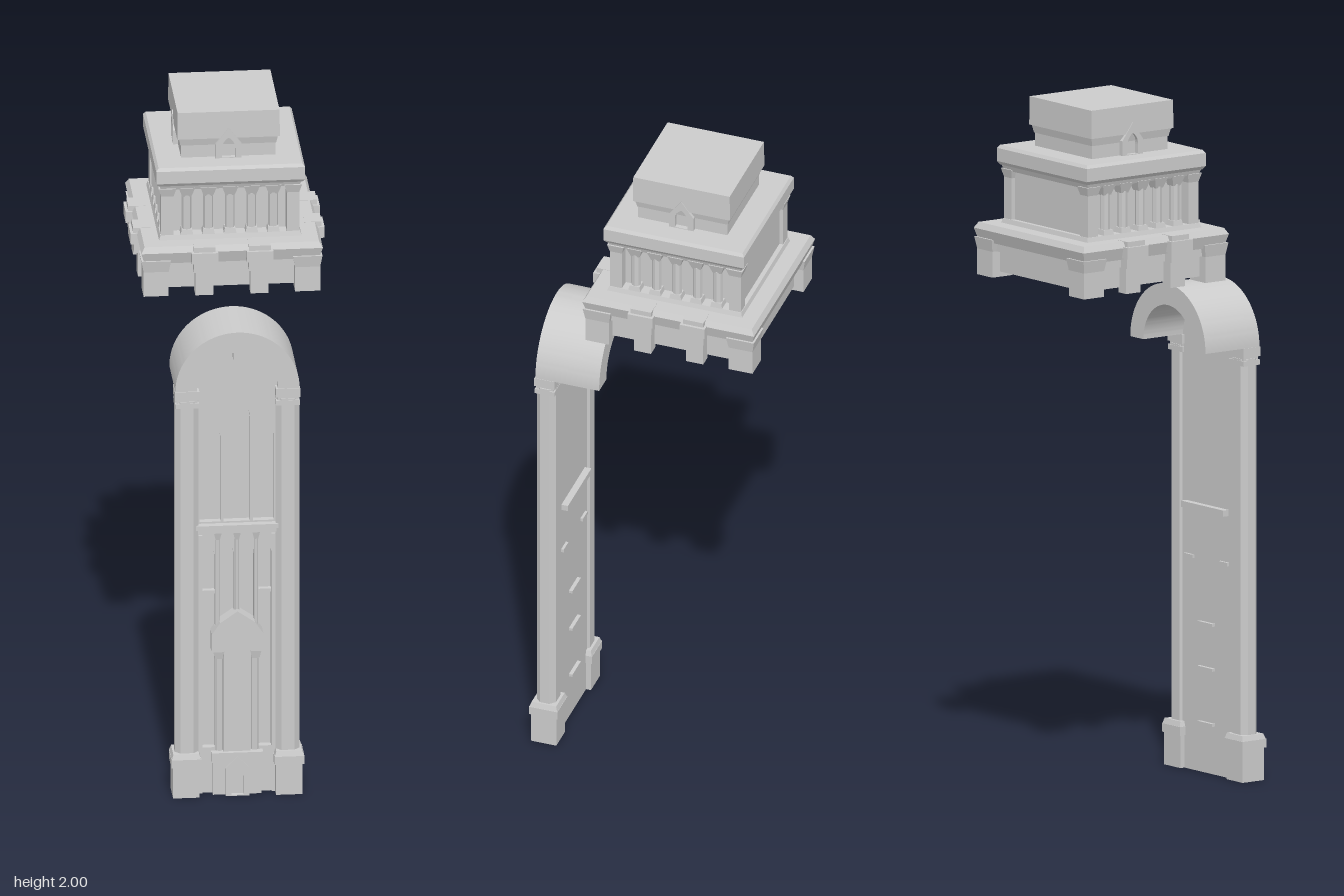
import * as THREE from 'three';
import { toCreasedNormals } from 'three/addons/utils/BufferGeometryUtils.js';

const stone = new THREE.MeshStandardMaterial({ color: 0xcccccc, flatShading: true, side: THREE.DoubleSide });
const smoothStone = new THREE.MeshStandardMaterial({ color: 0xcccccc, side: THREE.DoubleSide });

function add(parent, name, geometry, x = 0, y = 0, z = 0, material = stone) {
  const mesh = new THREE.Mesh(geometry, material);
  mesh.name = name;
  mesh.position.set(x, y, z);
  parent.add(mesh);
  return mesh;
}

// Box given by its limits
function box(parent, name, x0, x1, y0, y1, z0, z1) {
  return add(parent, name, new THREE.BoxGeometry(x1 - x0, y1 - y0, z1 - z0),
    (x0 + x1) / 2, (y0 + y1) / 2, (z0 + z1) / 2);
}

// Square block, half width rb at the bottom and rt at the top
function block(parent, name, rb, rt, y0, y1, x = 0, z = 0) {
  const g = new THREE.CylinderGeometry(rt * Math.SQRT2, rb * Math.SQRT2, y1 - y0, 4);
  g.rotateY(Math.PI / 4);
  return add(parent, name, g, x, (y0 + y1) / 2, z);
}

// Pointed arch outline
function lancet(cx, w, y0, spring, top, PathClass = THREE.Path) {
  const p = new PathClass();
  p.moveTo(cx - w, y0);
  p.lineTo(cx + w, y0);
  p.lineTo(cx + w, spring);
  p.quadraticCurveTo(cx + w, spring + (top - spring) * 0.65, cx, top);
  p.quadraticCurveTo(cx - w, spring + (top - spring) * 0.65, cx - w, spring);
  p.closePath();
  return p;
}

function polygon(points) {
  return new THREE.Shape(points.map(([x, y]) => new THREE.Vector2(x, y)));
}

function slab(shape, depth, curveSegments = 8) {
  return new THREE.ExtrudeGeometry(shape, { depth, bevelEnabled: false, curveSegments });
}

function buildTower() {
  const tower = new THREE.Group();
  tower.name = 'tower';
  tower.position.z = -0.094;

  // Lower storey with corner piers and a cornice
  block(tower, 'lowerWall', 0.225, 0.225, 1.495, 1.6);
  for (const sx of [-1, 1]) for (const sz of [-1, 1]) {
    block(tower, 'cornerPier', 0.036, 0.036, 1.48, 1.555, sx * 0.217, sz * 0.217);
    block(tower, 'cornerPierHead', 0.036, 0.042, 1.555, 1.59, sx * 0.217, sz * 0.217);
  }
  block(tower, 'lowerFrieze', 0.238, 0.238, 1.555, 1.585);
  block(tower, 'lowerCornice', 0.25, 0.26, 1.58, 1.615);
  block(tower, 'lowerCorniceTop', 0.26, 0.25, 1.615, 1.632);

  // Colonnade storey; the rear is a plain wall
  block(tower, 'colonnadeCore', 0.165, 0.165, 1.63, 1.8);
  box(tower, 'rearWall', -0.185, 0.185, 1.63, 1.8, -0.187, -0.16);
  block(tower, 'colonnadePlinth', 0.205, 0.2, 1.63, 1.645);
  block(tower, 'colonnadeFrieze', 0.198, 0.204, 1.785, 1.802);
  for (const sx of [-1, 1]) for (const sz of [-1, 1]) {
    block(tower, 'cornerColumn', 0.018, 0.018, 1.64, 1.765, sx * 0.18, sz * 0.18);
    block(tower, 'cornerCapital', 0.018, 0.025, 1.765, 1.79, sx * 0.18, sz * 0.18);
  }
  block(tower, 'upperCornice', 0.206, 0.213, 1.8, 1.81);
  block(tower, 'upperCorniceBand', 0.213, 0.213, 1.81, 1.848);
  block(tower, 'upperCorniceTop', 0.213, 0.206, 1.848, 1.857);

  // Crown
  block(tower, 'crownWall', 0.135, 0.135, 1.855, 1.9);
  block(tower, 'crownBand', 0.137, 0.142, 1.895, 1.918);
  block(tower, 'crownCap', 0.147, 0.146, 1.918, 2);

  // Details on the front and both flanks
  for (const turn of [-1, 0, 1]) {
    const face = new THREE.Group();
    face.name = 'towerFace';
    face.rotation.y = turn * Math.PI / 2;
    tower.add(face);
    for (const x of [-0.079, 0.079]) {
      box(face, 'pier', x - 0.026, x + 0.026, 1.48, 1.555, 0.22, 0.256);
      box(face, 'pierNeck', x - 0.031, x + 0.031, 1.555, 1.585, 0.22, 0.268);
      box(face, 'bracketHead', x - 0.038, x + 0.038, 1.585, 1.618, 0.22, 0.278);
      box(face, 'bracketTop', x - 0.031, x + 0.031, 1.618, 1.633, 0.22, 0.27);
    }
    for (let i = -2; i <= 2; i++) {
      const x = i * 0.062;
      block(face, 'columnBase', 0.019, 0.015, 1.64, 1.66, x, 0.182);
      add(face, 'column', new THREE.CylinderGeometry(0.014, 0.014, 0.11, 8), x, 1.71, 0.182);
      block(face, 'columnCapital', 0.013, 0.023, 1.76, 1.79, x, 0.18);
    }
    const gable = polygon([[-0.037, 1.857], [0.037, 1.857], [0.037, 1.9], [0, 1.95], [-0.037, 1.9]]);
    gable.holes.push(lancet(0, 0.019, 1.859, 1.885, 1.92));
    add(face, 'crownGable', slab(gable, 0.02), 0, 0, 0.129);
  }
  return tower;
}

function buildPortal() {
  const portal = new THREE.Group();
  portal.name = 'portal';

  // Facade wall pierced by tall lancets, with thin panels behind
  const outline = () => {
    const s = new THREE.Shape();
    s.moveTo(-0.12, 0);
    s.lineTo(0.12, 0);
    s.lineTo(0.12, 1.257);
    s.absarc(0, 1.257, 0.12, 0, Math.PI, false);
    s.closePath();
    return s;
  };
  const wall = outline();
  wall.holes.push(lancet(0, 0.038, 0.84, 1.15, 1.24));
  for (const s of [-1, 1]) {
    wall.holes.push(lancet(s * 0.076, 0.03, 0.84, 1.09, 1.16));
    wall.holes.push(lancet(s * 0.029, 0.02, 0.5, 0.73, 0.79));
    wall.holes.push(lancet(s * 0.082, 0.019, 0.14, 0.72, 0.78));
  }
  add(portal, 'facadeWall', slab(wall, 0.022, 12), 0, 0, 0.29);
  add(portal, 'windowPanels', slab(outline(), 0.006, 12), 0, 0, 0.286);

  // Beam, window shafts and sills
  box(portal, 'beam', -0.115, 0.115, 0.808, 0.822, 0.29, 0.325);
  box(portal, 'beamTop', -0.118, 0.118, 0.822, 0.835, 0.29, 0.332);
  for (const x of [-0.055, 0, 0.055]) {
    add(portal, 'windowShaft', new THREE.CylinderGeometry(0.006, 0.006, 0.28, 8), x, 0.66, 0.312);
    block(portal, 'shaftCapital', 0.006, 0.011, 0.785, 0.808, x, 0.312);
  }
  box(portal, 'rearBracket', -0.1, 0.1, 0.76, 0.778, 0.266, 0.288);
  for (const y of [0.14, 0.3, 0.43]) box(portal, 'rearLedge', -0.036, 0.036, y, y + 0.008, 0.275, 0.29);
  for (const s of [-1, 1]) {
    const x = s * 0.082;
    box(portal, 'sideSill', x - 0.02, x + 0.02, 0.615, 0.625, 0.278, 0.308);
  }

  // Porch: plinth, niche, jambs, door panel and gable
  box(portal, 'porchPlinth', -0.07, 0.07, 0, 0.1, 0.29, 0.33);
  box(portal, 'porchPlinthCap', -0.074, 0.074, 0.1, 0.13, 0.29, 0.334);
  const niche = polygon([[-0.034, 0], [0.034, 0], [0.034, 0.085], [0, 0.12], [-0.034, 0.085]]);
  niche.holes.push(lancet(0, 0.018, 0.003, 0.055, 0.09));
  add(portal, 'niche', slab(niche, 0.02), 0, 0, 0.323);
  box(portal, 'doorPanel', -0.038, 0.038, 0.13, 0.455, 0.29, 0.322);
  for (const s of [-1, 1]) {
    add(portal, 'porchShaft', new THREE.CylinderGeometry(0.011, 0.011, 0.29, 8), s * 0.051, 0.28, 0.318);
    block(portal, 'porchCapital', 0.011, 0.017, 0.42, 0.45, s * 0.053, 0.318);
    box(portal, 'sideShaft', s * 0.105 - 0.006, s * 0.105 + 0.006, 0, 0.8, 0.29, 0.318);
  }
  const gable = polygon([[-0.074, 0.445], [-0.04, 0.445], [-0.03, 0.455], [0.03, 0.455], [0.04, 0.445],
    [0.074, 0.445], [0.074, 0.5], [0.05, 0.535], [0, 0.57], [-0.05, 0.535], [-0.074, 0.5]]);
  add(portal, 'porchGable', slab(gable, 0.045), 0, 0, 0.293);

  // Flanking piers with chamfered, stepped shafts
  const a = 0.034, b = 0.019, c = 0.029, d = 0.014;
  const plan = polygon([[a, -d], [a, d], [b, c], [-b, c], [-a, d], [-a, -d], [-b, -c], [b, -c]]);
  for (const s of [-1, 1]) {
    const pier = new THREE.Group();
    pier.name = 'flankingPier';
    pier.position.set(s * 0.1445, 0, 0.309);
    portal.add(pier);
    const shaft = slab(plan, 1.1);
    shaft.rotateX(-Math.PI / 2);
    add(pier, 'shaft', shaft, 0, 0.125, 0);
    block(pier, 'pedestal', 0.038, 0.038, 0, 0.095, s * 0.003, 0);
    block(pier, 'pedestalCap', 0.043, 0.043, 0.095, 0.12, s * 0.003, 0);
    block(pier, 'pedestalTop', 0.042, 0.037, 0.12, 0.135, s * 0.003, 0);
    box(pier, 'capitalLower', -0.034, 0.034, 1.205, 1.22, -0.03, 0.03);
    box(pier, 'capitalNeck', -0.03, 0.03, 1.22, 1.23, -0.026, 0.026);
    box(pier, 'capitalUpper', -0.035, 0.035, 1.23, 1.257, -0.031, 0.031);
  }

  // Deep round arch over the piers
  const ring = new THREE.Shape();
  ring.absarc(0, 1.257, 0.178, 0, Math.PI, false);
  ring.absarc(0, 1.257, 0.116, Math.PI, 0, true);
  ring.closePath();
  add(portal, 'barrelArch', toCreasedNormals(slab(ring, 0.193, 32), 0.6), 0, 0, 0.144, smoothStone);
  box(portal, 'keystone', -0.012, 0.012, 1.352, 1.385, 0.3, 0.336);
  return portal;
}

export function createModel() {
  const model = new THREE.Group();
  model.name = 'towerAndPortal';
  model.add(buildTower(), buildPortal());
  return model;
}
